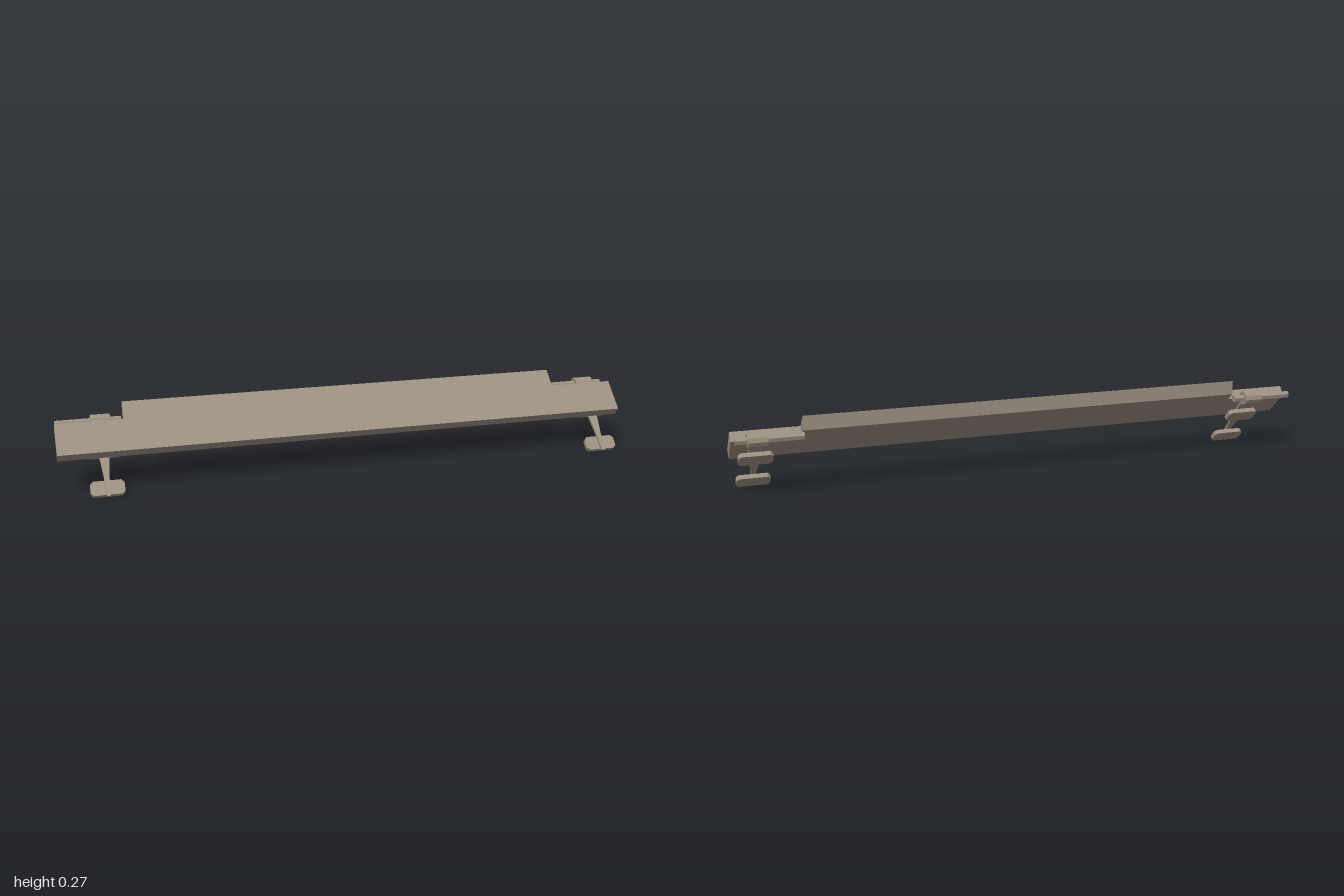
import * as THREE from 'three';

const taupe = new THREE.MeshStandardMaterial({ color: 0x9c9082, flatShading: true });
taupe.name = 'taupe';

function add(parent, name, geometry, x = 0, y = 0, z = 0) {
  const mesh = new THREE.Mesh(geometry, taupe);
  mesh.name = name;
  mesh.position.set(x, y, z);
  parent.add(mesh);
  return mesh;
}

const shapeOf = (points) => new THREE.Shape(points.map(([x, y]) => new THREE.Vector2(x, y)));
const extrude = (points, depth) =>
  new THREE.ExtrudeGeometry(shapeOf(points), { depth, bevelEnabled: false });

// Slab section given as (z, y) points, run along x
function slab(parent, name, section, length) {
  const geometry = extrude(section, length);
  geometry.rotateY(-Math.PI / 2);
  add(parent, name, geometry, length / 2);
}

// Pad: chamfered plate with a slim bevel
function padGeometry(width, height, thickness) {
  const w = width / 2, h = height / 2, c = 0.01;
  const geometry = extrude([
    [-w + c, -h], [w - c, -h], [w, -h + c], [w, h - c],
    [w - c, h], [-w + c, h], [-w, h - c], [-w, -h + c],
  ], thickness);
  return geometry.translate(0, 0, -thickness / 2);
}

// Hinge rod, barrel, tapered arm and two pads
function createPedal(name, x) {
  const pedal = new THREE.Group();
  pedal.name = name;
  pedal.position.set(x, 0.207, -0.092);
  pedal.rotation.x = -Math.PI / 4;

  const barrel = new THREE.CylinderGeometry(0.025, 0.025, 0.065, 10).rotateZ(Math.PI / 2);
  add(pedal, 'hingeBarrel', barrel);
  const rod = new THREE.CylinderGeometry(0.0135, 0.0135, 0.22, 6).rotateZ(Math.PI / 2);
  add(pedal, 'hingeRod', rod, -0.04);

  const arm = extrude([
    [-0.026, 0], [-0.02, -0.1], [-0.009, -0.215], [-0.006, -0.281],
    [0.006, -0.281], [0.009, -0.215], [0.02, -0.1], [0.026, 0],
  ], 0.009);
  add(pedal, 'arm', arm, 0, 0, -0.0005);

  add(pedal, 'upperPad', padGeometry(0.112, 0.056, 0.016), 0, -0.104, -0.0085);
  add(pedal, 'lowerPad', padGeometry(0.112, 0.052, 0.016), 0, -0.247, -0.0085);
  return pedal;
}

export function createModel() {
  const model = new THREE.Group();
  model.name = 'tiltedFlap';

  // Full-width front strip and narrower rear strip of the tilted panel
  slab(model, 'panelFront', [[0.053, 0.145], [0.029, 0.118], [-0.061, 0.199], [-0.037, 0.226]], 2);
  slab(model, 'panelRear', [[-0.037, 0.226], [-0.061, 0.199], [-0.088, 0.2233], [-0.088, 0.272]], 1.546);

  model.add(createPedal('rightHingeArm', -0.847), createPedal('leftHingeArm', 0.92));
  return model;
}
